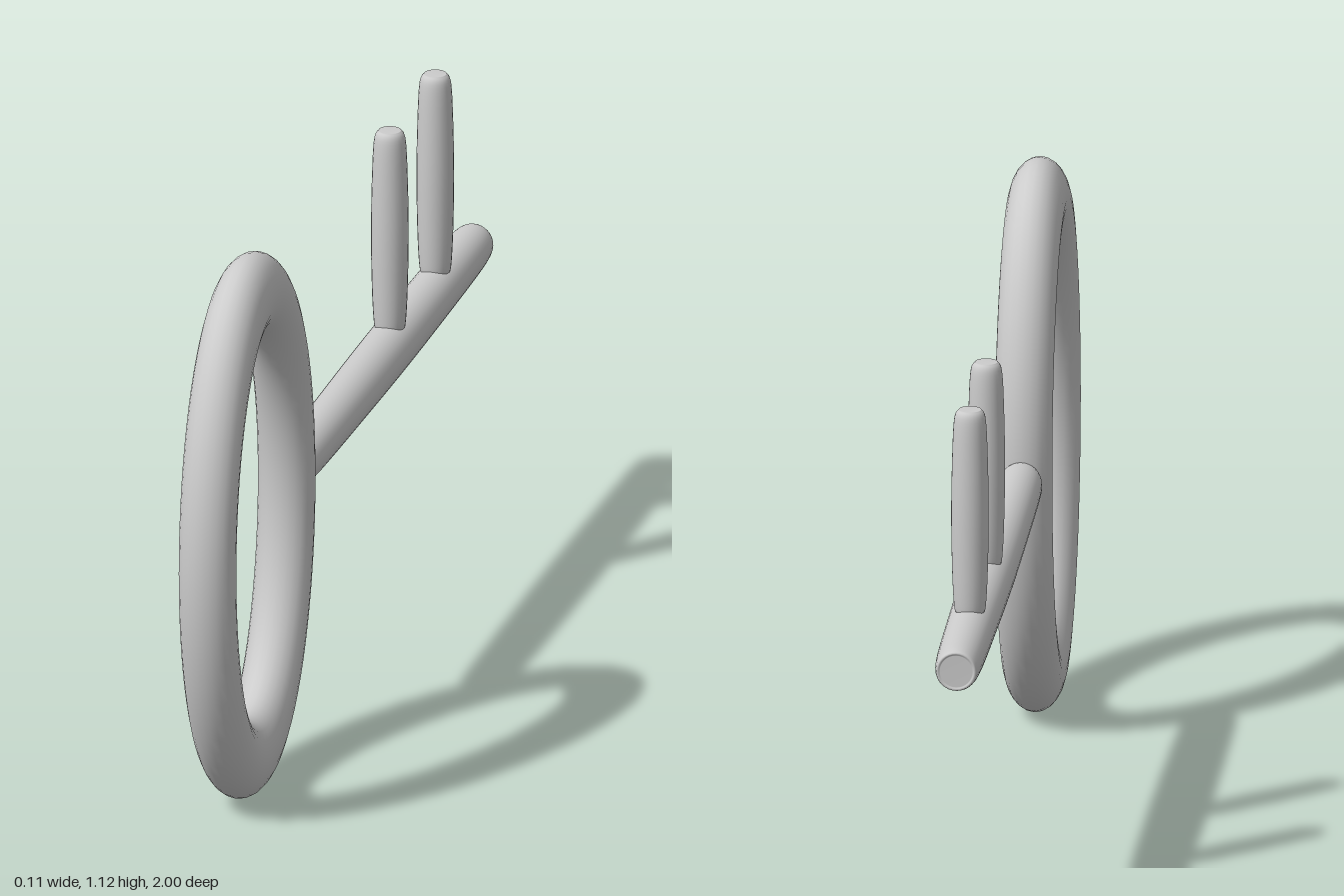
import * as THREE from 'three';

const material = new THREE.MeshStandardMaterial({ color: 0xcccccc });

// Round bar along y, from radius/height pairs, closed at both ends
function bar(name, points, segments) {
  const curve = new THREE.SplineCurve(points.map(([r, y]) => new THREE.Vector2(r, y)));
  const y0 = points[0][1], y1 = points[points.length - 1][1];
  const profile = [new THREE.Vector2(0, y0), ...curve.getPoints(40), new THREE.Vector2(0, y1)];
  const mesh = new THREE.Mesh(new THREE.LatheGeometry(profile, segments), material);
  mesh.name = name;
  return mesh;
}

export function createModel() {
  const key = new THREE.Group();
  key.name = 'key';

  // Oval ring handle, standing in the yz plane
  const ringGeometry = new THREE.TorusGeometry(0.29, 0.05, 24, 72);
  ringGeometry.scale(1, 1.647, 1.14).rotateY(Math.PI / 2);
  const ring = new THREE.Mesh(ringGeometry, material);
  ring.name = 'ringHandle';
  ring.position.set(0, 0.56, 0.66);
  key.add(ring);

  // Long shaft, slightly slimmer towards its ends
  const shaft = bar('shaft', [
    [0.032, -1], [0.041, -0.995], [0.046, -0.92], [0.049, -0.7], [0.051, -0.35],
    [0.049, 0], [0.046, 0.25], [0.041, 0.32], [0.03, 0.335],
  ], 32);
  shaft.rotation.x = Math.PI / 2;
  shaft.position.y = 0.56;
  key.add(shaft);

  // Two upright teeth with softly rounded ends
  for (const z of [-0.385, -0.718]) {
    const tooth = bar('tooth', [
      [0.026, 0.6], [0.031, 0.61], [0.035, 0.68], [0.037, 0.8],
      [0.035, 0.92], [0.031, 0.995], [0.022, 1.014],
    ], 24);
    tooth.position.z = z;
    key.add(tooth);
  }
  return key;
}
